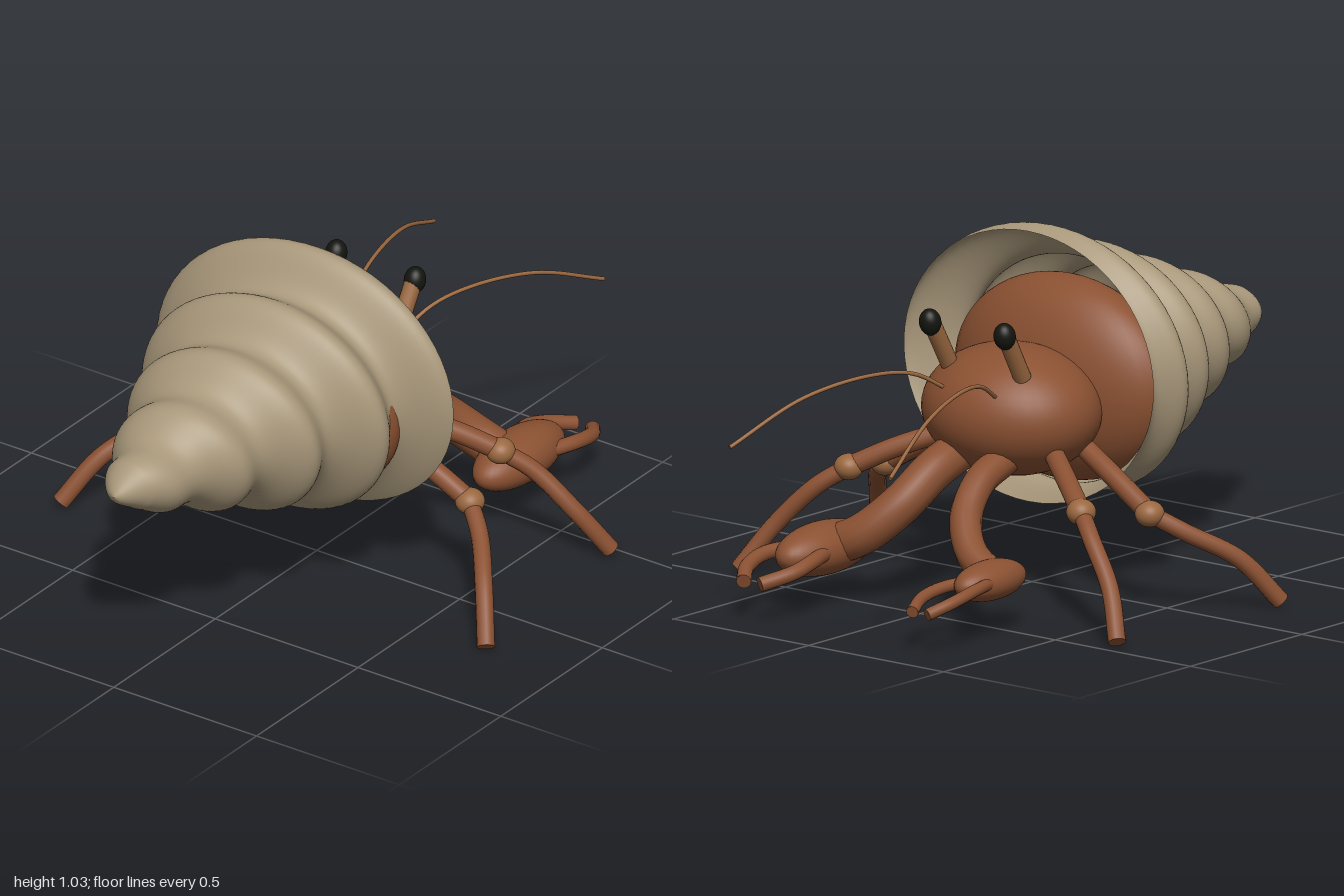
import * as THREE from 'three';
import { ParametricGeometry } from 'three/addons/geometries/ParametricGeometry.js';

const mat = (color, side = THREE.FrontSide) => {
  const m = new THREE.MeshStandardMaterial({ side });
  m.color.set(color);
  return m;
};

export function createModel() {
  const model = new THREE.Group();
  const skin = mat(0x8b5132), joint = mat(0x9a6840), dark = mat(0x14140f);
  const shellMat = mat(0xa8977a, THREE.DoubleSide);
  const V = (p) => new THREE.Vector3(...p);

  const add = (parent, name, geometry, material) => {
    const mesh = new THREE.Mesh(geometry, material);
    mesh.name = name;
    parent.add(mesh);
    return mesh;
  };
  const ellipsoid = (parent, name, centre, radii, material) => {
    const mesh = add(parent, name, new THREE.SphereGeometry(1, 40, 28), material);
    mesh.position.set(...centre);
    mesh.scale.set(...radii);
    return mesh;
  };
  // Round tube through points, closed with a flat disc at each end
  const limb = (parent, name, points, radius, material) => {
    const curve = new THREE.CatmullRomCurve3(points.map(V));
    const tube = add(parent, name, new THREE.TubeGeometry(curve, 32, radius, 14), material);
    for (const [t, s] of [[0, -1], [1, 1]]) {
      const cap = add(tube, name + 'End', new THREE.CircleGeometry(radius, 14), material);
      cap.position.copy(curve.getPoint(t));
      cap.quaternion.setFromUnitVectors(new THREE.Vector3(0, 0, 1), curve.getTangent(t).multiplyScalar(s));
    }
    return tube;
  };

  // Spiral shell: a cone with a helical swell, open at the mouth
  const shellPoint = (u, v, target) => {
    const t = 0.96 * (1 - v), x = t - 1, a = u * Math.PI * 2;
    const phase = ((-0.04 - x) / 0.21) * Math.PI * 2 - a;
    const envelope = 0.4 * t + 0.05 * Math.min(1, Math.sqrt(Math.max(0, t) / 0.08));
    const r = envelope * (0.91 + 0.09 * Math.cos(phase));
    target.set(x, 0.62 + r * Math.sin(a), 1.17 * r * Math.cos(a));
  };
  add(model, 'shell', new ParametricGeometry(shellPoint, 64, 120), shellMat);

  // Body filling the mouth, and the head in front of it
  ellipsoid(model, 'abdomen', [-0.15, 0.58, 0], [0.17, 0.3, 0.385], skin);
  ellipsoid(model, 'head', [0.09, 0.53, 0], [0.235, 0.19, 0.275], skin);

  for (const [side, s] of [['left', 1], ['right', -1]]) {
    const group = new THREE.Group();
    group.name = side + 'Limbs';
    model.add(group);
    const mirror = (points) => points.map(([x, y, z]) => [x, y, s * z]);

    // Eye on its stalk
    limb(group, 'eyeStalk', mirror([[0.205, 0.66, 0.135], [0.245, 0.73, 0.136], [0.285, 0.8, 0.138]]), 0.026, joint);
    const eye = ellipsoid(group, 'eye', [0.289, 0.798, s * 0.138], [0.032, 0.04, 0.032], dark);
    eye.rotation.z = -0.2;

    // Antenna
    limb(group, 'antenna', mirror([[0.26, 0.6, 0.09], [0.38, 0.665, 0.125], [0.52, 0.68, 0.165],
      [0.75, 0.645, 0.23], [0.995, 0.537, 0.297]]), 0.006, joint);

    // Walking legs: thigh, knee, shin
    const legs = [
      ['frontLeg', [[0.14, 0.445, 0.19], [0.23, 0.39, 0.32], [0.3, 0.33, 0.43]],
        [[0.3, 0.33, 0.43], [0.35, 0.27, 0.51], [0.4, 0.15, 0.62], [0.465, 0.02, 0.7]]],
      ['hindLeg', [[0.02, 0.44, 0.2], [0.05, 0.37, 0.35], [0.065, 0.29, 0.49]],
        [[0.065, 0.29, 0.49], [0, 0.235, 0.57], [-0.12, 0.15, 0.67], [-0.215, 0.02, 0.745]]],
    ];
    for (const [name, thigh, shin] of legs) {
      limb(group, name + 'Thigh', mirror(thigh), 0.03, skin);
      ellipsoid(group, name + 'Knee', mirror([shin[0]])[0], [0.043, 0.038, 0.043], joint);
      limb(group, name + 'Shin', mirror(shin), 0.026, skin);
    }
  }

  // Claws: the left one is larger
  const claws = [
    ['left', 1, 0.06, [0.19, 0.077, 0.09], 0.022,
      [[0.62, 0.165, 0.365], [0.72, 0.16, 0.395], [0.81, 0.14, 0.385], [0.88, 0.115, 0.34]],
      [[0.62, 0.165, 0.25], [0.71, 0.16, 0.225], [0.79, 0.14, 0.23], [0.88, 0.115, 0.28]]],
    ['right', -1, 0.047, [0.14, 0.058, 0.068], 0.018,
      [[0.6, 0.165, 0.345], [0.7, 0.165, 0.37], [0.8, 0.145, 0.365], [0.875, 0.12, 0.335]],
      [[0.61, 0.16, 0.275], [0.7, 0.155, 0.248], [0.79, 0.14, 0.245], [0.875, 0.12, 0.28]]],
  ];
  for (const [side, s, armRadius, palm, fingerRadius, outer, inner] of claws) {
    const claw = new THREE.Group();
    claw.name = side + 'Claw';
    model.add(claw);
    const mirror = (points) => points.map(([x, y, z]) => [x, y, s * z]);
    limb(claw, 'arm', mirror([[0.22, 0.42, 0.085], [0.34, 0.375, 0.09], [0.44, 0.295, 0.12],
      [0.51, 0.21, 0.2], [0.53, 0.165, 0.29]]), armRadius, skin);
    ellipsoid(claw, 'palm', [0.56, 0.16, s * 0.308], palm, skin);
    limb(claw, 'outerPincer', mirror(outer), fingerRadius, skin);
    limb(claw, 'innerPincer', mirror(inner), fingerRadius, skin);
  }
  return model;
}
